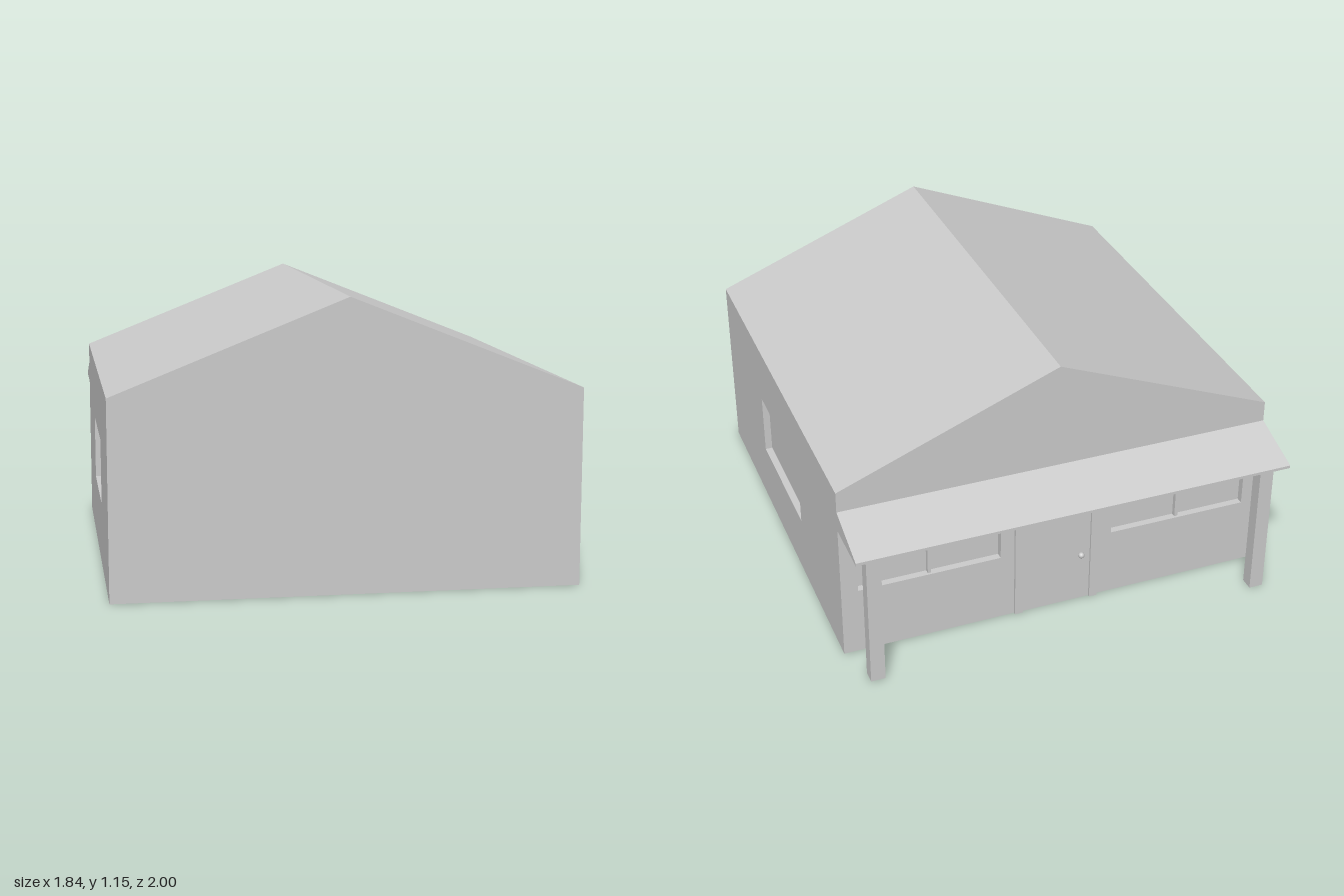
import * as THREE from 'three';

const W = 0.92;                 // half width of the house
const FRONT = 1, BACK = -0.76;  // z of the end walls
const EAVE = 0.785, RIDGE = 1.15;
const T = 0.03;                 // wall thickness, also the window recess
const MID = (FRONT + BACK) / 2, LENGTH = FRONT - BACK;

export function createModel() {
  const house = new THREE.Group();
  house.name = 'house';
  const material = new THREE.MeshStandardMaterial({ color: 0xcccccc, flatShading: true });
  const smooth = new THREE.MeshStandardMaterial({ color: 0xcccccc });

  const add = (parent, name, geometry, x = 0, y = 0, z = 0, mat = material) => {
    const mesh = new THREE.Mesh(geometry, mat);
    mesh.name = name;
    mesh.position.set(x, y, z);
    parent.add(mesh);
    return mesh;
  };
  const box = (parent, name, w, h, d, x, y, z) =>
    add(parent, name, new THREE.BoxGeometry(w, h, d), x, y, z);
  const extrude = (points, depth, holes = []) => {
    const shape = new THREE.Shape(points.map(([x, y]) => new THREE.Vector2(x, y)));
    for (const [x0, x1, y0, y1] of holes) {
      shape.holes.push(new THREE.Path([[x0, y0], [x0, y1], [x1, y1], [x1, y0]]
        .map(([x, y]) => new THREE.Vector2(x, y))));
    }
    return new THREE.ExtrudeGeometry(shape, { depth, bevelEnabled: false });
  };

  // Wall slab facing local +z, with window openings closed by recessed panes
  const wall = (name, width, windows) => {
    const group = new THREE.Group();
    group.name = name;
    const h = width / 2;
    add(group, name + 'Slab', extrude([[-h, 0], [h, 0], [h, EAVE], [-h, EAVE]], T, windows));
    for (const [x0, x1, y0, y1] of windows) {
      box(group, 'windowPane', x1 - x0 + 0.02, y1 - y0 + 0.02, 0.01,
        (x0 + x1) / 2, (y0 + y1) / 2, -0.005);
    }
    house.add(group);
    return group;
  };

  // Side walls, one wide window each
  for (const s of [1, -1]) {
    const side = wall(s > 0 ? 'leftWall' : 'rightWall', LENGTH, [[-0.295, 0.295, 0.265, 0.53]]);
    side.rotation.y = s * Math.PI / 2;
    side.position.set(s * (W - T), 0, MID);
  }

  // Plain front wall
  wall('frontWall', 2 * W, []).position.z = FRONT - T;

  // Back wall with two divided windows
  const back = wall('backWall', 2 * W, [[-0.85, -0.245, 0.3, 0.49], [0.245, 0.85, 0.3, 0.49]]);
  back.rotation.y = Math.PI;
  back.position.z = BACK + T;
  for (const s of [1, -1]) box(back, 'windowMullion', 0.014, 0.19, 0.02, s * 0.5475, 0.395, 0.01);

  // Floor and gable roof
  box(house, 'floor', 2 * W - 0.02, 0.02, LENGTH - 0.02, 0, 0.01, MID);
  add(house, 'gableRoof', extrude([[-W, EAVE], [W, EAVE], [0, RIDGE]], LENGTH), 0, 0, BACK);

  // Door casing around the door leaf, with a round knob
  const casing = [[-0.185, 0], [-0.15, 0], [-0.15, 0.49], [0.15, 0.49],
    [0.15, 0], [0.185, 0], [0.185, 0.525], [-0.185, 0.525]];
  add(house, 'doorFrame', extrude(casing, 0.012), 0, 0, BACK - 0.012);
  box(house, 'door', 0.3, 0.49, 0.004, 0, 0.245, BACK);
  add(house, 'doorKnob', new THREE.SphereGeometry(0.013, 20, 14), -0.108, 0.228, BACK - 0.013, smooth);

  // Porch: wedge roof on two square posts
  const wedge = [[-BACK, 0.61], [1, 0.61], [1, 0.622], [-BACK, 0.697]];
  const porch = add(house, 'porchRoof', extrude(wedge, 2 * W), -W, 0, 0);
  porch.rotation.y = Math.PI / 2;
  for (const s of [1, -1]) box(house, 'porchPost', 0.06, 0.61, 0.056, s * 0.84, 0.305, -0.932);

  return house;
}
